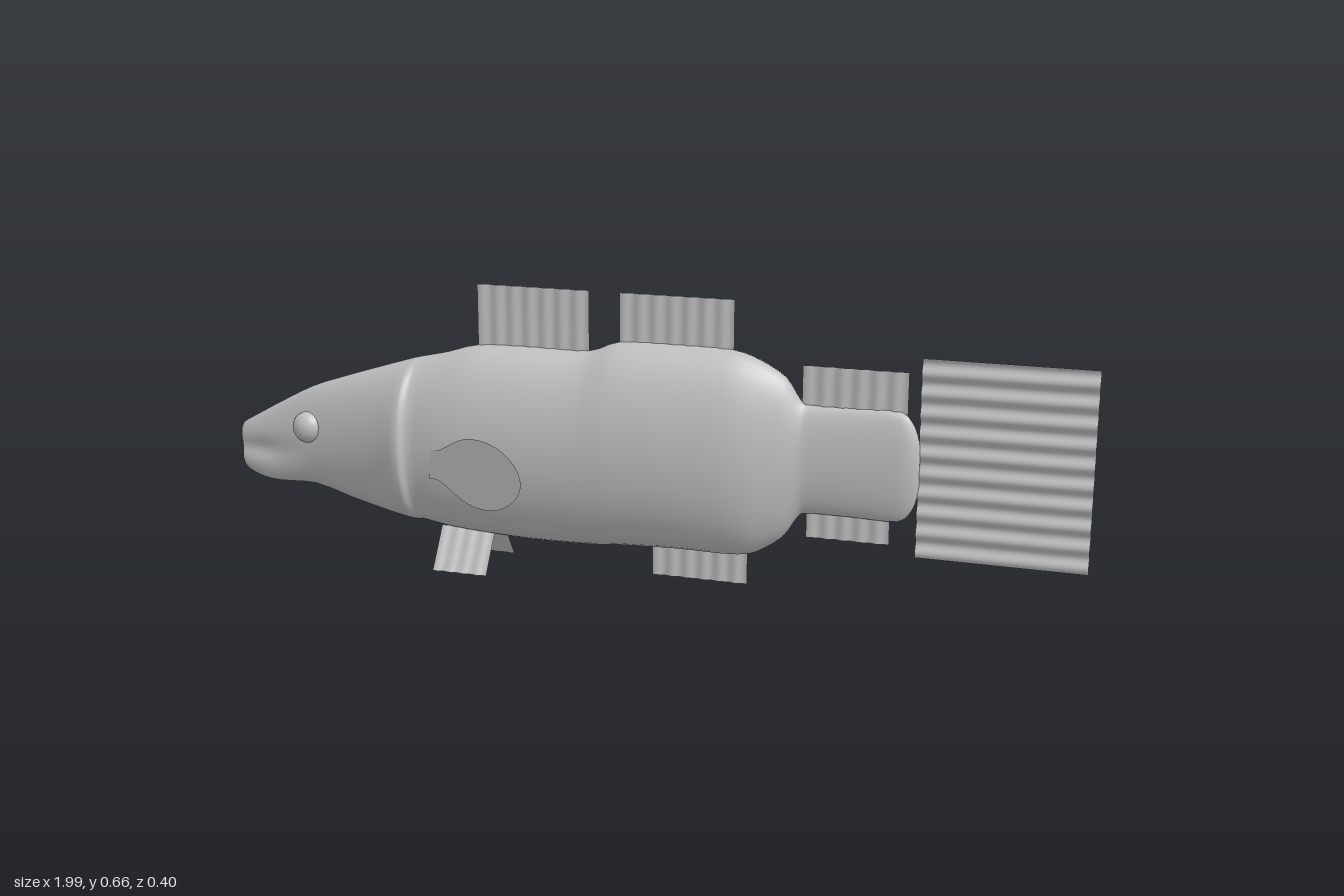
import * as THREE from 'three';

const grey = new THREE.MeshStandardMaterial({ color: 0xc0c0c0, side: THREE.DoubleSide });
grey.name = 'plain grey';

// Body stations from mouth to tail: x, belly y, back y, half width
const STATIONS = [
  [-0.96, 0.225, 0.255, 0.004], [-0.992, 0.20, 0.28, 0.010], [-0.985, 0.18, 0.295, 0.013],
  [-0.95, 0.163, 0.315, 0.019], [-0.9, 0.155, 0.343, 0.026], [-0.8, 0.157, 0.395, 0.040],
  [-0.7, 0.13, 0.430, 0.062], [-0.6, 0.108, 0.462, 0.094], [-0.535, 0.098, 0.482, 0.122],
  [-0.515, 0.098, 0.487, 0.103], [-0.45, 0.088, 0.502, 0.112], [-0.375, 0.082, 0.523, 0.117],
  [-0.25, 0.077, 0.527, 0.117], [-0.11, 0.079, 0.527, 0.116], [-0.035, 0.085, 0.553, 0.117],
  [0.1, 0.09, 0.555, 0.108], [0.22, 0.089, 0.553, 0.094], [0.28, 0.098, 0.536, 0.079],
  [0.34, 0.138, 0.502, 0.055], [0.375, 0.19, 0.452, 0.038], [0.40, 0.2, 0.443, 0.032],
  [0.5, 0.2, 0.443, 0.028], [0.595, 0.2, 0.443, 0.025], [0.625, 0.23, 0.41, 0.018],
  [0.636, 0.27, 0.37, 0.009], [0.637, 0.31, 0.33, 0.001],
];

function bodyGeometry() {
  const outline = new THREE.CatmullRomCurve3(
    STATIONS.map(([x, b, t]) => new THREE.Vector3(x, b, t)), false, 'catmullrom', 0.4);
  const width = new THREE.CatmullRomCurve3(
    STATIONS.map(([x, , , w]) => new THREE.Vector3(x, w, 0)), false, 'catmullrom', 0.4);
  const rings = (STATIONS.length - 1) * 3, sides = 40;
  const pos = [], index = [];
  for (let i = 0; i <= rings; i++) {
    const { x, y: low, z: high } = outline.getPoint(i / rings);
    const w = Math.max(width.getPoint(i / rings).y, 0.001);
    // Crease running back from the mouth corner
    const crease = 0.55 * THREE.MathUtils.clamp((-0.82 - x) / 0.12, 0, 1);
    for (let j = 0; j < sides; j++) {
      const a = (j / sides) * Math.PI * 2;
      const y = (low + high) / 2 + ((high - low) / 2) * Math.cos(a);
      const pinch = 1 - crease * Math.exp(-(((y - 0.235) / 0.022) ** 2));
      pos.push(x, y, w * Math.sin(a) * pinch);
      if (i < rings) {
        const p = i * sides + j, q = i * sides + ((j + 1) % sides);
        index.push(p, q, p + sides, q, q + sides, p + sides);
      }
    }
  }
  const g = new THREE.BufferGeometry();
  g.setAttribute('position', new THREE.Float32BufferAttribute(pos, 3));
  g.setIndex(index);
  g.computeVertexNormals();
  return g;
}

// Thin rippled sheet; its rays run along y, or along x when horizontal
function finGeometry(x0, x1, y0, y1, waves, depth, horizontal = false) {
  const n = waves * 8;
  const g = new THREE.PlaneGeometry(x1 - x0, y1 - y0, horizontal ? 4 : n, horizontal ? n : 4);
  g.translate((x0 + x1) / 2, (y0 + y1) / 2, 0);
  const p = g.attributes.position;
  for (let i = 0; i < p.count; i++) {
    const t = horizontal ? (p.getY(i) - y0) / (y1 - y0) : (p.getX(i) - x0) / (x1 - x0);
    p.setZ(i, depth * Math.sin(t * waves * Math.PI * 2));
  }
  g.computeVertexNormals();
  return g;
}

// Teardrop paddle, swept outwards towards the tail
function pectoralGeometry() {
  const s = new THREE.Shape();
  s.moveTo(-0.455, 0.3);
  s.bezierCurveTo(-0.41, 0.29, -0.39, 0.345, -0.315, 0.345);
  s.bezierCurveTo(-0.25, 0.345, -0.197, 0.305, -0.197, 0.265);
  s.bezierCurveTo(-0.197, 0.225, -0.25, 0.186, -0.305, 0.186);
  s.bezierCurveTo(-0.385, 0.186, -0.41, 0.242, -0.455, 0.23);
  const g = new THREE.ShapeGeometry(s, 14);
  const p = g.attributes.position;
  for (let i = 0; i < p.count; i++) p.setZ(i, 0.11 + (p.getX(i) + 0.455) * 0.345);
  g.computeVertexNormals();
  return g;
}

// Pelvic fin, splayed outwards as it goes down
function pelvicGeometry() {
  const g = finGeometry(-0.465, -0.332, 0.002, 0.095, 4, 0.0015);
  const p = g.attributes.position;
  for (let i = 0; i < p.count; i++) p.setZ(i, p.getZ(i) + 0.088 - p.getY(i) * 0.65);
  g.computeVertexNormals();
  return g;
}

export function createModel() {
  const fish = new THREE.Group();
  fish.name = 'fish';
  const add = (name, geometry) => {
    const mesh = new THREE.Mesh(geometry, grey);
    mesh.name = name;
    fish.add(mesh);
    return mesh;
  };

  add('body', bodyGeometry());

  // Fins on the centre line
  add('frontDorsalFin', finGeometry(-0.375, -0.108, 0.515, 0.663, 7, 0.002));
  add('rearDorsalFin', finGeometry(-0.037, 0.225, 0.545, 0.663, 7, 0.002));
  add('upperTailFin', finGeometry(0.378, 0.608, 0.435, 0.53, 6, 0.002));
  add('lowerTailFin', finGeometry(0.393, 0.577, 0.145, 0.205, 5, 0.002));
  add('analFin', finGeometry(0.04, 0.262, 0.02, 0.1, 6, 0.002));
  add('tailFin', finGeometry(0.634, 1.0, 0.123, 0.563, 10, 0.004, true));

  // Paired parts
  for (const side of [1, -1]) {
    const label = side > 0 ? 'front' : 'back';
    add(label + 'SidePectoralFin', pectoralGeometry().scale(1, 1, side));
    add(label + 'SidePelvicFin', pelvicGeometry().scale(1, 1, side));
    const eye = add(label + 'SideEye', new THREE.SphereGeometry(0.037, 24, 16));
    eye.scale.z = 0.75;
    eye.position.set(-0.8, 0.303, side * 0.034);
  }
  return fish;
}
